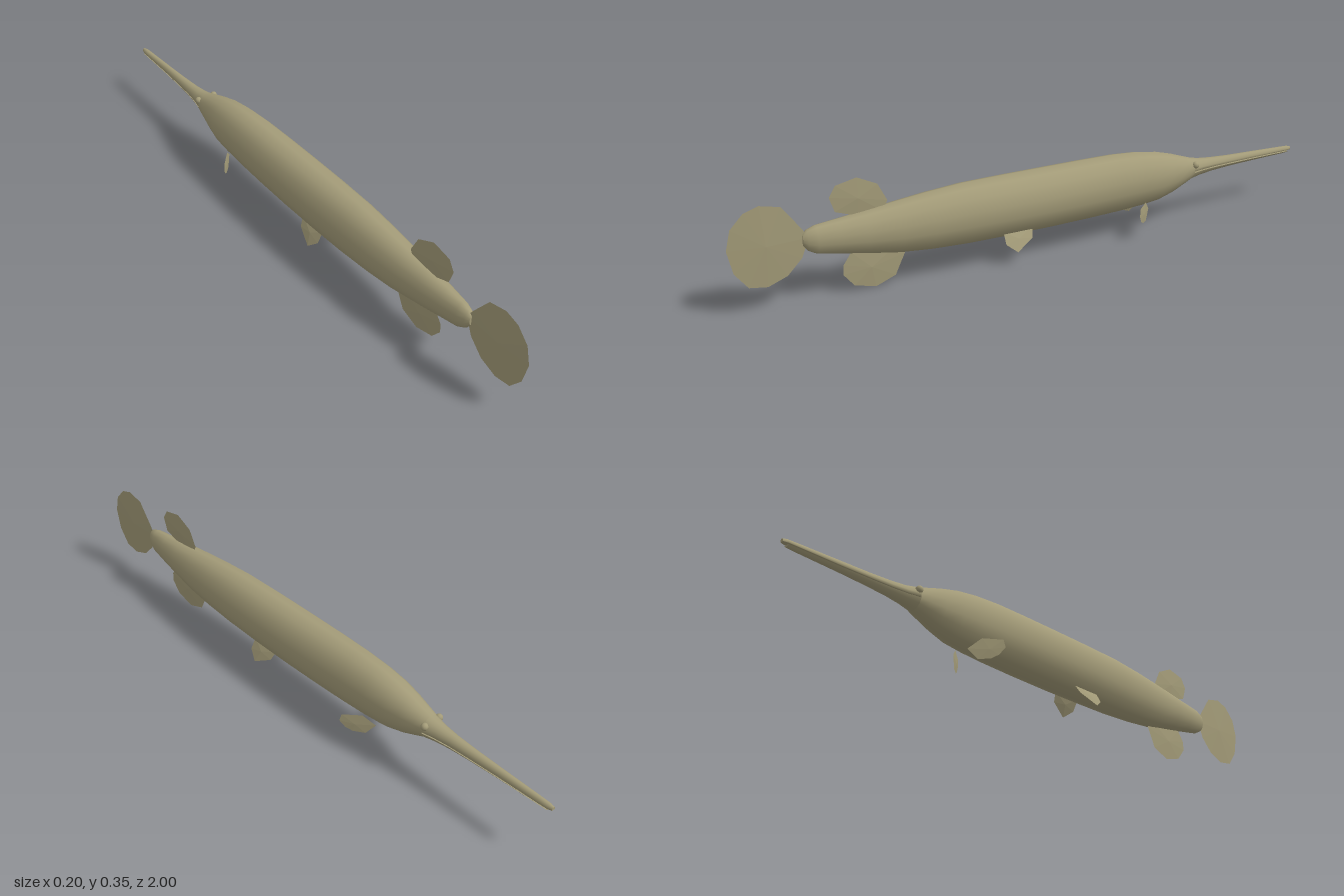
import * as THREE from 'three';

const SIDES = 14;

// Body stations from tail to snout: z, top y, bottom y, half-width
const BODY = [
  [0.785, 0.207, 0.177, 0.008], [0.772, 0.222, 0.158, 0.018], [0.745, 0.231, 0.143, 0.027],
  [0.68, 0.237, 0.131, 0.037], [0.6, 0.245, 0.115, 0.047], [0.5, 0.256, 0.097, 0.058],
  [0.4, 0.266, 0.087, 0.066], [0.28, 0.274, 0.081, 0.073], [0.14, 0.275, 0.079, 0.077],
  [0, 0.275, 0.078, 0.078], [-0.14, 0.275, 0.079, 0.077], [-0.26, 0.274, 0.081, 0.074],
  [-0.35, 0.268, 0.085, 0.07], [-0.42, 0.257, 0.092, 0.065], [-0.48, 0.241, 0.108, 0.054],
  [-0.53, 0.224, 0.128, 0.043], [-0.56, 0.214, 0.141, 0.036],
];
// Beak stations continue the head: z, top y, bottom y, half-width
const BEAK = [
  [-0.54, 0.22, 0.133, 0.04], [-0.56, 0.214, 0.141, 0.036], [-0.6, 0.205, 0.148, 0.028],
  [-0.65, 0.2, 0.153, 0.022], [-0.72, 0.196, 0.157, 0.018], [-0.82, 0.193, 0.16, 0.014],
  [-0.96, 0.188, 0.163, 0.011], [-0.985, 0.187, 0.164, 0.01], [-1, 0.184, 0.168, 0.006],
];

// Elliptical loft along z; each section's y is kept between lo and hi
function loft(stations, lo = -Infinity, hi = Infinity) {
  const pos = [], index = [];
  const ring = ([z, top, bottom, w]) => {
    for (let i = 0; i < SIDES; i++) {
      const a = (i / SIDES) * Math.PI * 2;
      const y = (top + bottom) / 2 + Math.cos(a) * (top - bottom) / 2;
      pos.push(Math.sin(a) * w, Math.min(hi, Math.max(lo, y)), z);
    }
  };
  stations.forEach(ring);
  for (let s = 0; s < stations.length - 1; s++) {
    for (let i = 0; i < SIDES; i++) {
      const a = s * SIDES + i, b = s * SIDES + (i + 1) % SIDES;
      index.push(a, b, a + SIDES, b, b + SIDES, a + SIDES);
    }
  }
  // End caps with their own vertices so the rims stay crisp
  [stations[0], stations[stations.length - 1]].forEach((st, end) => {
    const base = pos.length / 3;
    ring(st);
    for (let i = 1; i < SIDES - 1; i++) {
      if (end) index.push(base, base + i, base + i + 1);
      else index.push(base, base + i + 1, base + i);
    }
  });
  const g = new THREE.BufferGeometry();
  g.setAttribute('position', new THREE.Float32BufferAttribute(pos, 3));
  g.setIndex(index);
  g.computeVertexNormals();
  return g;
}

// Thin lens-shaped fin: an outline with a slightly raised middle on both faces
function fin(outline, normal, thickness = 0.006) {
  const rim = outline.map((p) => new THREE.Vector3(...p));
  const mid = rim.reduce((m, p) => m.add(p), new THREE.Vector3()).divideScalar(rim.length);
  const n = new THREE.Vector3(...normal).normalize().multiplyScalar(thickness / 2);
  const pts = [], a = mid.clone().add(n), b = mid.clone().sub(n);
  // Order the rim so that the first face looks along the normal
  const area = new THREE.Vector3();
  rim.forEach((p, i) => area.add(p.clone().sub(mid).cross(rim[(i + 1) % rim.length].clone().sub(mid))));
  if (area.dot(n) < 0) rim.reverse();
  rim.forEach((p, i) => {
    const q = rim[(i + 1) % rim.length];
    pts.push(a, p, q, b, q, p);
  });
  const g = new THREE.BufferGeometry().setFromPoints(pts);
  g.computeVertexNormals();
  return g;
}

export function createModel() {
  const group = new THREE.Group();
  const skin = new THREE.MeshStandardMaterial({ color: 0xa39b78, side: THREE.DoubleSide });
  skin.name = 'olive skin';
  const add = (name, geometry) => {
    const mesh = new THREE.Mesh(geometry, skin);
    mesh.name = name;
    group.add(mesh);
    return mesh;
  };

  // Body and the long two-part beak
  add('body', loft(BODY));
  add('upperJaw', loft(BEAK, 0.174));
  add('lowerJaw', loft(BEAK.slice(0, -1), -Infinity, 0.17));

  // Upright fins on the centre line, outlined as z, y
  const upright = (name, zy) => add(name, fin(zy.map(([z, y]) => [0, y, z]), [1, 0, 0], 0.008));
  upright('tailFin', [
    [1, 0.203], [0.985, 0.262], [0.945, 0.303], [0.9, 0.317], [0.84, 0.303], [0.79, 0.235],
    [0.765, 0.197], [0.79, 0.139], [0.835, 0.094], [0.893, 0.073], [0.947, 0.082], [0.985, 0.132],
  ]);
  upright('dorsalFin', [
    [0.7, 0.303], [0.68, 0.336], [0.615, 0.35], [0.553, 0.32], [0.525, 0.265],
    [0.54, 0.235], [0.62, 0.235], [0.685, 0.258],
  ]);
  upright('analFin', [
    [0.67, 0.09], [0.672, 0.06], [0.64, 0.02], [0.573, 0.002], [0.51, 0.025],
    [0.478, 0.09], [0.49, 0.13], [0.645, 0.125],
  ]);

  for (const side of [1, -1]) {
    const label = side > 0 ? 'left' : 'right';

    // Pectoral fins swept outwards, outlined as x, y
    const pectoral = [[0.057, 0.112], [0.098, 0.11], [0.102, 0.086], [0.09, 0.062], [0.075, 0.049], [0.05, 0.045], [0.03, 0.077]];
    add(label + 'PectoralFin', fin(
      pectoral.map(([x, y]) => [side * x, y, -0.295 + 1.15 * (x - 0.102)]), [-1.15 * side, 0, 1], 0.004));

    // Pelvic fins splayed below the belly, outlined as z, y
    const pelvic = [[0.168, 0.105], [0.168, 0.07], [0.135, 0.044], [0.075, 0.075], [0.065, 0.105]];
    add(label + 'PelvicFin', fin(
      pelvic.map(([z, y]) => [side * (0.073 - (y - 0.044) * 0.55), y, z]), [side, 0.55, 0], 0.005));

    // Small bulging eyes
    const eye = add(label + 'Eye', new THREE.SphereGeometry(0.012, 10, 8));
    eye.position.set(side * 0.03, 0.195, -0.565);
  }
  return group;
}
